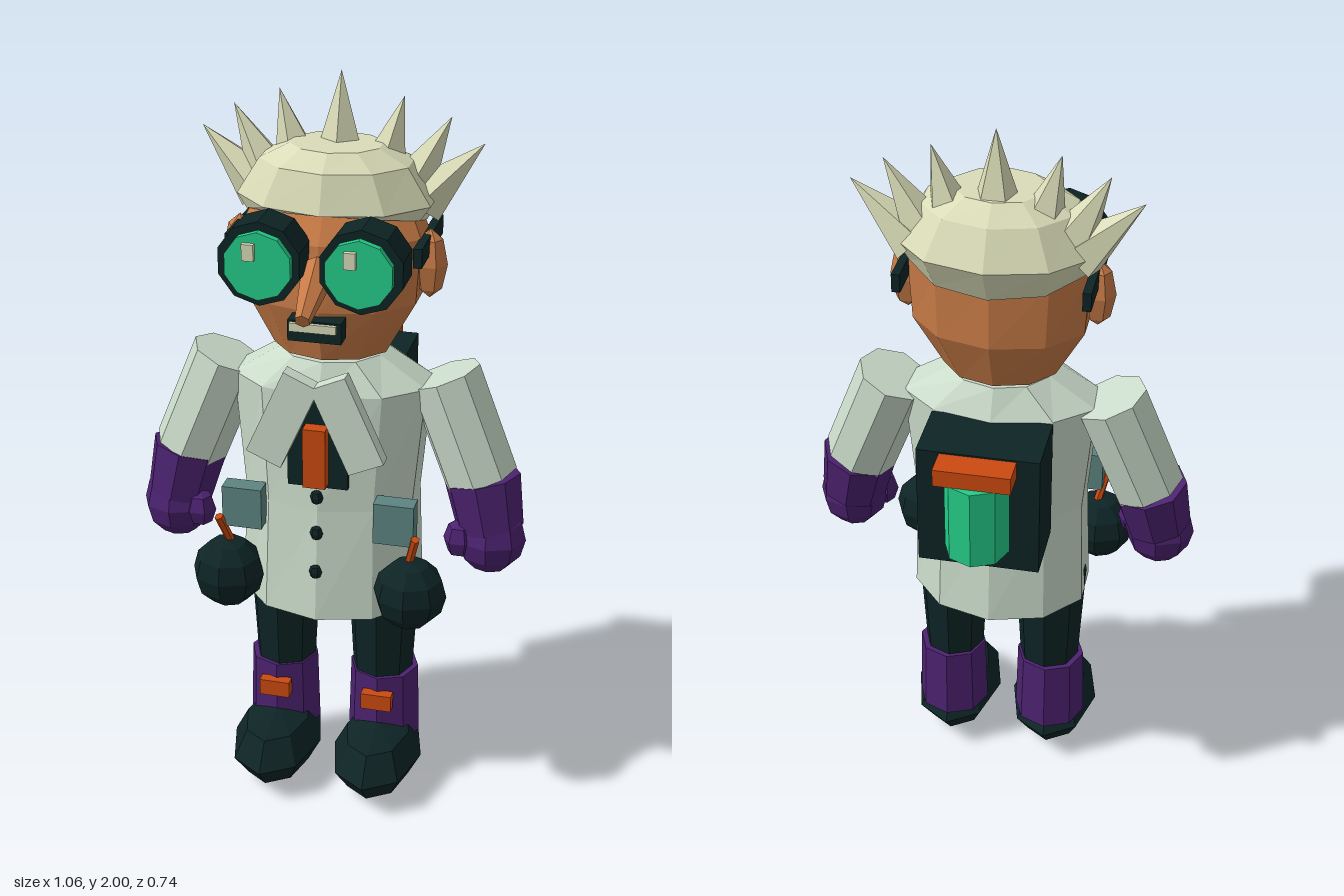
import * as THREE from 'three';

const mat = (name, color) => {
  const m = new THREE.MeshStandardMaterial({ color, flatShading: true });
  m.name = name;
  return m;
};

export function createModel() {
  const skin = mat('skin', 0xc67a46), hair = mat('pale blond', 0xdadcb8), coat = mat('coat white', 0xcbdccb);
  const dark = mat('dark teal', 0x0e2425), purple = mat('purple', 0x4c2270), orange = mat('orange', 0xcc4a10);
  const green = mat('bright green', 0x24cc88), teal = mat('pocket teal', 0x5c8480);

  const root = new THREE.Group();
  const add = (name, geo, m, x = 0, y = 0, z = 0) => {
    const mesh = new THREE.Mesh(geo, m);
    mesh.name = name;
    mesh.position.set(x, y, z);
    root.add(mesh);
    return mesh;
  };
  const box = (name, m, w, h, d, x, y, z) => add(name, new THREE.BoxGeometry(w, h, d), m, x, y, z);
  const blob = (name, m, rx, ry, rz, x, y, z, w = 8, h = 6) =>
    add(name, new THREE.SphereGeometry(1, w, h).scale(rx, ry, rz), m, x, y, z);
  // Tapered cylinder from point a to point b
  const limb = (name, m, a, b, ra, rb, n = 8) => {
    const A = new THREE.Vector3(...a), B = new THREE.Vector3(...b);
    const dir = B.clone().sub(A), mid = A.clone().add(B).multiplyScalar(0.5);
    const mesh = add(name, new THREE.CylinderGeometry(rb, ra, dir.length(), n), m, mid.x, mid.y, mid.z);
    mesh.quaternion.setFromUnitVectors(new THREE.Vector3(0, 1, 0), dir.normalize());
    return mesh;
  };
  // Stacked elliptical rings [y, rx, rz, centreZ, frontLift], bottom to top, capped
  const loft = (name, m, rings, n = 10) => {
    const pos = [], idx = [];
    for (const [y, rx, rz, cz, lift = 0] of rings)
      for (let i = 0; i < n; i++) {
        const a = (i / n) * Math.PI * 2;
        pos.push(Math.sin(a) * rx, y + lift * Math.cos(a), Math.cos(a) * rz + cz);
      }
    const last = rings.length - 1, lo = rings.length * n, hi = lo + 1;
    pos.push(0, rings[0][0], rings[0][3], 0, rings[last][0], rings[last][3]);
    for (let i = 0; i < n; i++) {
      const j = (i + 1) % n;
      for (let r = 0; r < last; r++) {
        const a = r * n + i, b = r * n + j;
        idx.push(a, b, b + n, a, b + n, a + n);
      }
      idx.push(j, i, lo, last * n + i, last * n + j, hi);
    }
    const g = new THREE.BufferGeometry();
    g.setAttribute('position', new THREE.Float32BufferAttribute(pos, 3));
    g.setIndex(idx);
    g.computeVertexNormals();
    return add(name, g, m);
  };

  // Head and hair
  loft('head', skin, [[1.31, 0.155, 0.13, 0.05], [1.45, 0.235, 0.175, 0.042], [1.62, 0.245, 0.165, 0.04], [1.71, 0.2, 0.13, 0.02]]);
  loft('hairCap', hair, [[1.645, 0.235, 0.165, 0.015, 0.045], [1.695, 0.262, 0.197, 0],
    [1.79, 0.2, 0.155, 0.01], [1.83, 0.12, 0.1, 0.015]]);
  const spikes = [[0, 1.77, 0, 2.0, 0.07], [0.11, 1.75, 0.16, 1.945, 0.065],
    [0.18, 1.71, 0.28, 1.9, 0.068], [0.21, 1.685, 0.365, 1.838, 0.07]];
  for (const [bx, by, tx, ty, r] of spikes)
    for (const s of bx ? [-1, 1] : [1])
      limb('hairSpike', hair, [s * bx, by, -0.03], [s * tx, ty, -0.033], r, 0, 5);

  // Nose and mouth
  limb('nose', skin, [0, 1.56, 0.2], [0, 1.485, 0.36], 0.045, 0.02, 6);
  box('mouth', dark, 0.138, 0.055, 0.05, 0, 1.413, 0.225);
  box('teeth', hair, 0.12, 0.022, 0.02, -0.003, 1.425, 0.25);

  // Coat, shirt and tie
  loft('coat', coat, [[0.588, 0.25, 0.205, 0.055], [0.9, 0.24, 0.175, 0.055], [1.22, 0.27, 0.165, 0.05], [1.3, 0.14, 0.125, 0.05]]);
  box('shirt', dark, 0.16, 0.24, 0.05, 0, 1.09, 0.2);
  box('tie', orange, 0.06, 0.165, 0.04, 0, 1.067, 0.243);
  for (const [y, z] of [[0.945, 0.235], [0.842, 0.24], [0.732, 0.252]])
    blob('button', dark, 0.018, 0.021, 0.015, 0, y, z, 6, 4);

  // Backpack with canister
  box('backpack', dark, 0.32, 0.345, 0.18, 0, 1.047, -0.18);
  box('canisterCap', orange, 0.2, 0.048, 0.08, 0, 1.191, -0.305);
  add('canister', new THREE.CylinderGeometry(0.085, 0.085, 0.225, 8), green, 0, 1.055, -0.283);

  for (const s of [-1, 1]) {
    // Goggles
    add('goggleFrame', new THREE.CylinderGeometry(0.108, 0.108, 0.105, 10).rotateX(Math.PI / 2), dark, s * 0.128, 1.595, 0.238);
    add('goggleLens', new THREE.CylinderGeometry(0.087, 0.087, 0.022, 10).rotateX(Math.PI / 2), green, s * 0.126, 1.595, 0.299);
    box('lensGlint', hair, 0.03, 0.042, 0.015, s * 0.126 - 0.02, 1.633, 0.316);
    box('goggleStrap', dark, 0.022, 0.05, 0.275, s * 0.24, 1.597, 0.03);
    blob('ear', skin, 0.045, 0.092, 0.045, s * 0.248, 1.543, 0.042, 6, 4);

    // Lapels and pockets
    box('lapel', coat, 0.1, 0.25, 0.042, s * 0.085, 1.165, 0.237).rotation.z = s * 0.42;
    box('pocket', teal, 0.107, 0.115, 0.052, s * 0.204, 0.888, 0.211);

    // Hanging round flasks
    limb('flaskHandle', orange, [s * 0.265, 0.86, 0.245], [s * 0.24, 0.76, 0.21], 0.012, 0.012, 6);
    blob('flask', dark, 0.098, 0.098, 0.095, s * 0.249, 0.687, 0.223);

    // Arms and gloves
    limb('sleeve', coat, [s * 0.4, 0.965, 0.052], [s * 0.29, 1.24, 0.035], 0.1, 0.1);
    limb('gloveCuff', purple, [s * 0.432, 0.83, 0.07], [s * 0.403, 0.965, 0.053], 0.09, 0.103);
    blob('gloveFist', purple, 0.095, 0.1, 0.085, s * 0.435, 0.805, 0.08);
    blob('gloveThumb', purple, 0.043, 0.055, 0.045, s * 0.358, 0.808, 0.115, 6, 4);

    // Legs, boots and shoes
    limb('trouserLeg', dark, [s * 0.14, 0.33, 0.045], [s * 0.14, 0.66, 0.045], 0.084, 0.102);
    limb('bootShaft', purple, [s * 0.145, 0.13, 0.043], [s * 0.145, 0.345, 0.043], 0.102, 0.096);
    box('bootBuckle', orange, 0.085, 0.048, 0.03, s * 0.146, 0.28, 0.146);
    blob('shoe', dark, 0.125, 0.101, 0.2, s * 0.146, 0.104, 0.128, 8, 4);
  }
  return root;
}
